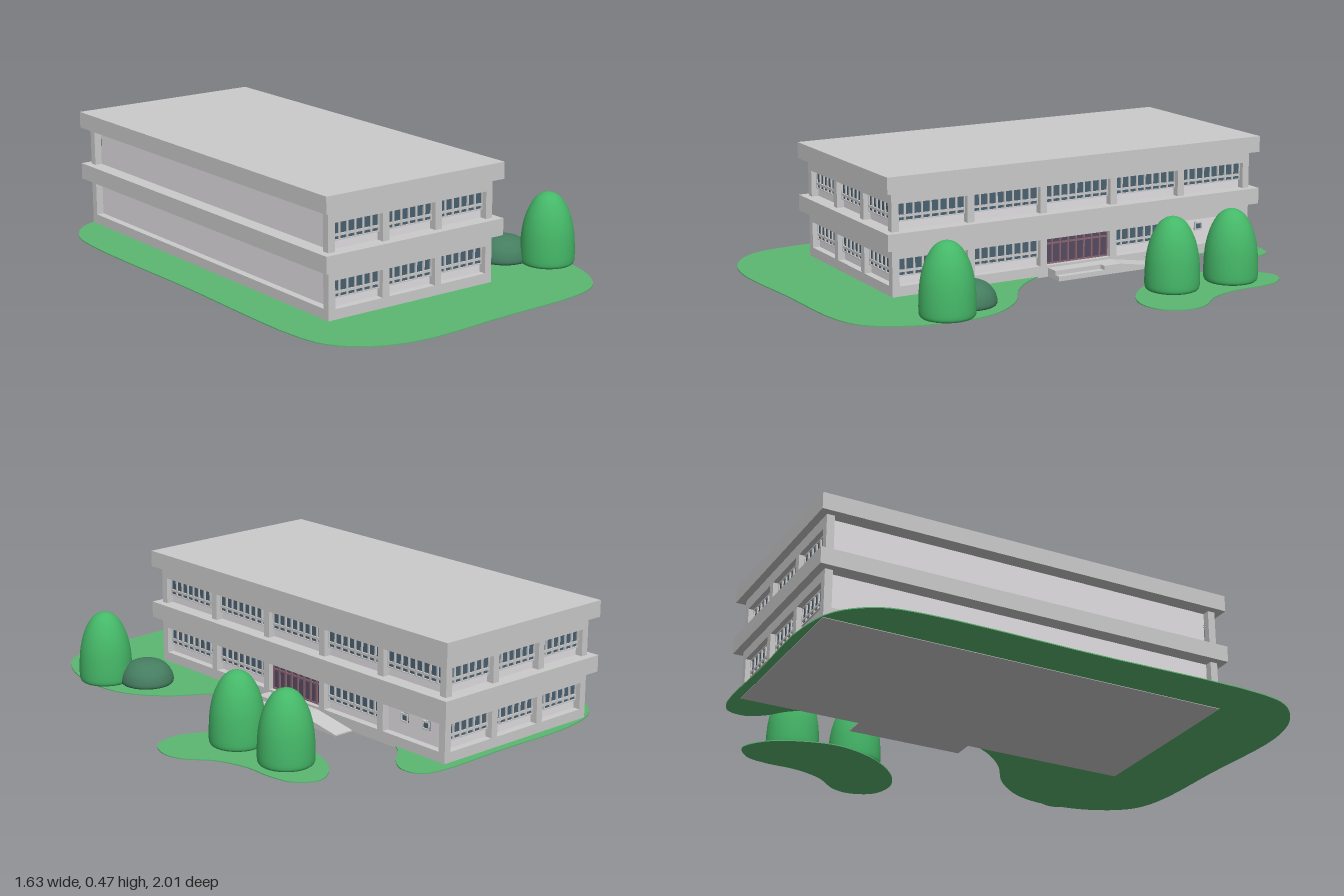
import * as THREE from 'three';
import { mergeGeometries } from 'three/addons/utils/BufferGeometryUtils.js';

const mat = (color) => new THREE.MeshStandardMaterial({ color });
const concrete = mat(0xcccccc), panel = mat(0xe2dfe3), frame = mat(0xcccccc);
const glass = mat(0x4a6172), doorGlass = mat(0x574a63), doorFrame = mat(0x8a6672);
const grass = mat(0x5cb873), leaf = mat(0x45b868), darkLeaf = mat(0x457d60);

// Box given by its minimum and maximum corners
function box(x0, x1, y0, y1, z0, z1) {
  return new THREE.BoxGeometry(x1 - x0, y1 - y0, z1 - z0)
    .translate((x0 + x1) / 2, (y0 + y1) / 2, (z0 + z1) / 2);
}

function add(parent, name, geometry, material) {
  const mesh = new THREE.Mesh(Array.isArray(geometry) ? mergeGeometries(geometry) : geometry, material);
  mesh.name = name;
  parent.add(mesh);
  return mesh;
}

const POST = 0.03, DEPTH = 0.03, BAY_H = 0.105;
const X0 = -0.63, X1 = 0.125, Z0 = -0.97, Z1 = 0.65;
const FLOORS = [[0.045, 0.19], [0.255, 0.405]];

// Glazed strip with mullions and rails, over a plain sill panel
function glazing(parent, name, u0, u1, y0, y1, panes, rails, glassMat, frameMat) {
  const back = -DEPTH, bars = [];
  for (let i = 0; i <= panes; i++) {
    const u = u0 + (u1 - u0) * i / panes;
    bars.push(box(Math.max(u0, u - 0.0035), Math.min(u1, u + 0.0035), y0, y1, back, back + 0.01));
  }
  for (const [a, b] of rails) bars.push(box(u0, u1, a, b, back, back + 0.01));
  add(parent, name + 'Glass', box(u0, u1, y0, y1, back - 0.002, back + 0.004), glassMat);
  add(parent, name + 'Frame', bars, frameMat);
}

// One facade: u runs along local x, outward is local z, outer surface at z = 0
function facade(name, length, bays, panes, kinds) {
  const group = new THREE.Group();
  group.name = name;
  const pitch = (length - POST) / bays, structure = [];
  FLOORS.forEach(([y0, top], floor) => {
    const head = y0 + BAY_H;
    structure.push(box(-length / 2 + POST, length / 2 - POST, head, top, -DEPTH, 0));
    for (let i = 0; i < bays; i++) {
      const u0 = -length / 2 + POST + i * pitch, u1 = u0 + pitch - POST;
      if (i) structure.push(box(u0 - POST, u0, y0, head, -DEPTH, 0));
      const kind = kinds(floor, i);
      if (kind === 'door') {
        glazing(group, 'entrance', u0, u1, y0, head, 8,
          [[y0, y0 + 0.005], [y0 + 0.078, y0 + 0.084], [head - 0.005, head]], doorGlass, doorFrame);
      } else if (kind === 'small') {
        for (const t of [0.31, 0.69]) {
          const u = u0 + (u1 - u0) * t, y = y0 + 0.07;
          glazing(group, 'smallWindow', u - 0.017, u + 0.017, y - 0.017, y + 0.017, 1,
            [[y - 0.017, y - 0.011], [y + 0.011, y + 0.017]], glass, frame);
        }
      } else {
        const y = y0 + 0.032;
        glazing(group, 'window', u0, u1, y, head, panes,
          [[y, y + 0.004], [y + 0.016, y + 0.025], [head - 0.005, head]], glass, frame);
      }
    }
  });
  add(group, name + 'Structure', structure, concrete);
  return group;
}

// Thin lawn from a smooth closed outline of (x, z) points
function lawn(parent, name, outline) {
  const curve = new THREE.CatmullRomCurve3(outline.map(([x, z]) => new THREE.Vector3(x, z, 0)), true);
  const shape = new THREE.Shape(curve.getPoints(120).slice(0, -1).map((p) => new THREE.Vector2(p.x, p.y)));
  const geometry = new THREE.ExtrudeGeometry(shape, { depth: 0.004, bevelEnabled: false });
  add(parent, name, geometry.rotateX(Math.PI / 2).translate(0, 0.006, 0), grass);
}

function plant(parent, name, x, z, profile, material) {
  const points = new THREE.SplineCurve(profile.map(([r, y]) => new THREE.Vector2(r, y))).getPoints(24);
  points.forEach((p) => { p.x = Math.max(p.x, 0); });
  points.unshift(new THREE.Vector2(0, profile[0][1]));
  add(parent, name, new THREE.LatheGeometry(points, 32), material).position.set(x, 0, z);
}

export function createModel() {
  const model = new THREE.Group();
  model.name = 'schoolBuilding';
  const building = new THREE.Group();
  building.name = 'building';
  model.add(building);

  // Recessed core, plinth, overhanging floor band and roof
  add(building, 'wallPanels', box(X0 + DEPTH, X1 - DEPTH, 0.04, 0.41, Z0 + DEPTH, Z1 - DEPTH), panel);
  add(building, 'plinth', box(X0, X1, 0, 0.045, Z0, Z1), concrete);
  add(building, 'floorBand', box(-0.66, 0.155, 0.19, 0.255, -1, 0.68), concrete);
  add(building, 'roof', box(-0.66, 0.155, 0.405, 0.47, -1, 0.68), concrete);

  // Corner posts on both floors
  const posts = [];
  for (const [y0, y1] of FLOORS)
    for (const x of [X0, X1 - POST])
      for (const z of [Z0, Z1 - POST]) posts.push(box(x, x + POST, y0, y1, z, z + POST));
  add(building, 'cornerPosts', posts, concrete);

  // Facades; the remaining long side is a plain recessed wall
  const cx = (X0 + X1) / 2, cz = (Z0 + Z1) / 2;
  const allWindows = () => 'window';
  const front = facade('frontFacade', X1 - X0, 3, 6, allWindows);
  front.position.set(cx, 0, Z1);
  const back = facade('backFacade', X1 - X0, 3, 6, allWindows);
  back.position.set(cx, 0, Z0);
  back.rotation.y = Math.PI;
  const side = facade('entranceFacade', Z1 - Z0, 5, 8,
    (floor, i) => (floor === 0 && i === 2 ? 'door' : floor === 0 && i === 4 ? 'small' : 'window'));
  side.position.set(X1, 0, cz);
  side.rotation.y = Math.PI / 2;
  building.add(front, back, side);

  // Entrance steps, landing and ramp
  add(building, 'entranceSteps', [
    box(X1, 0.183, 0, 0.036, -0.225, -0.02),
    box(0.183, 0.21, 0, 0.019, -0.225, -0.02),
  ], concrete);
  const rampShape = new THREE.Shape([[0.225, 0], [0.49, 0], [0.49, 0.005], [0.3, 0.036], [0.225, 0.036]]
    .map(([a, b]) => new THREE.Vector2(a, b)));
  add(building, 'ramp', new THREE.ExtrudeGeometry(rampShape, { depth: 0.085, bevelEnabled: false })
    .rotateY(Math.PI / 2).translate(X1, 0, 0), concrete);

  // Lawns
  lawn(model, 'mainLawn', [
    [-0.81, -0.68], [-0.78, -0.83], [-0.68, -0.95], [-0.5, -1], [-0.15, -1], [0.19, -1], [0.255, -0.97],
    [0.27, -0.9], [0.23, -0.83], [0.15, -0.76], [0.1, -0.65], [0.09, -0.3], [0.1, -0.05], [0.15, 0.07],
    [0.25, 0.18], [0.4, 0.28], [0.5, 0.41], [0.53, 0.55], [0.5, 0.75], [0.41, 0.9], [0.29, 0.955],
    [-0.1, 0.98], [-0.49, 1], [-0.66, 0.95], [-0.77, 0.85], [-0.81, 0.72], [-0.81, 0],
  ]);
  lawn(model, 'islandLawn', [
    [0.56, -0.79], [0.64, -0.74], [0.665, -0.65], [0.67, -0.52], [0.71, -0.4], [0.79, -0.3], [0.805, -0.22],
    [0.76, -0.13], [0.66, -0.105], [0.55, -0.15], [0.43, -0.28], [0.37, -0.45], [0.39, -0.59], [0.46, -0.73],
  ]);

  // Trees and shrub
  const tree = [[0.09, 0.007], [0.1, 0.012], [0.105, 0.03], [0.104, 0.09], [0.098, 0.15],
    [0.082, 0.21], [0.055, 0.26], [0.027, 0.283], [0, 0.29]];
  for (const [x, z] of [[0.54, -0.59], [0.54, -0.32], [0.46, 0.595]]) plant(model, 'tree', x, z, tree, leaf);
  plant(model, 'shrub', 0.36, 0.455, [[0.09, 0.007], [0.103, 0.013], [0.105, 0.03], [0.095, 0.06],
    [0.07, 0.088], [0.035, 0.102], [0, 0.106]], darkLeaf);
  return model;
}
